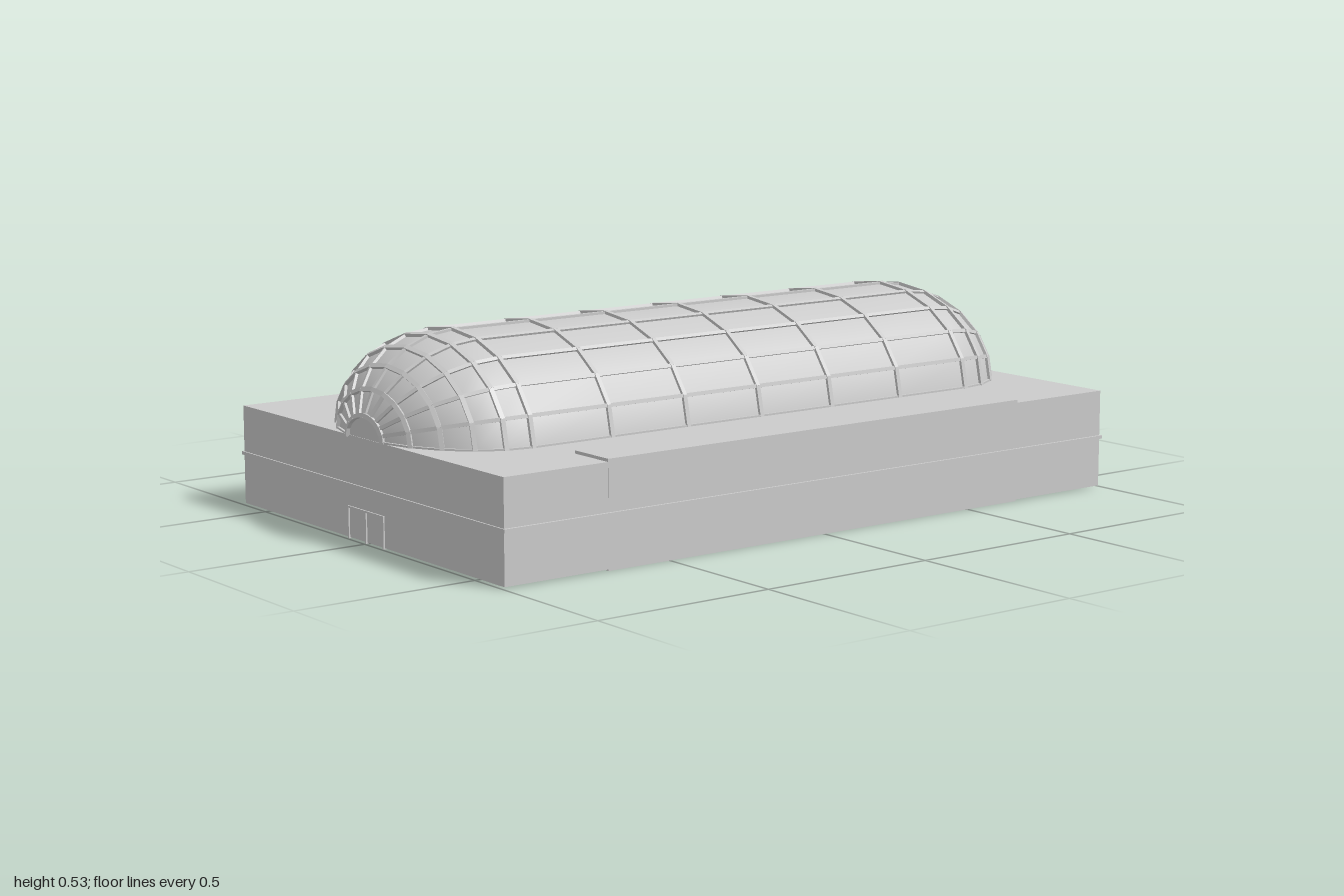
import * as THREE from 'three';
import { mergeGeometries } from 'three/addons/utils/BufferGeometryUtils.js';

const ROOF = 0.27;             // height of the hall roof, where the vault springs
const A = 0.355, B = 0.253;    // half width and rise of the vault
const BARREL = 0.727;          // half length of the straight part
const CAP = 0.272;             // depth of each rounded end
const SEGMENTS = 10;           // bays across the arch
const BAYS = 6, CAP_RINGS = 5;

const grey = new THREE.MeshStandardMaterial({ color: 0xcccccc });
const greyDouble = new THREE.MeshStandardMaterial({ color: 0xcccccc, side: THREE.DoubleSide });

// Cross-section stations from back to front: z position and scale of the arch
function vaultStations() {
  const cap = [];
  for (let k = 1; k <= CAP_RINGS; k++) {
    const t = THREE.MathUtils.degToRad(15.3 * k);
    cap.push({ z: BARREL + CAP * Math.sin(t), s: Math.cos(t) });
  }
  const barrel = [];
  for (let k = 0; k <= BAYS; k++) barrel.push({ z: -BARREL + (2 * BARREL * k) / BAYS, s: 1 });
  return [...cap.map(({ z, s }) => ({ z: -z, s })).reverse(), ...barrel, ...cap];
}

function archPoint({ z, s }, j) {
  const t = (Math.PI * j) / SEGMENTS;
  return new THREE.Vector3(A * s * Math.cos(t), ROOF + B * s * Math.sin(t), z);
}

// Glazed skin lofted through the stations
function skinGeometry(stations) {
  const positions = [], index = [], row = SEGMENTS + 1;
  stations.forEach((st, i) => {
    for (let j = 0; j <= SEGMENTS; j++) {
      positions.push(...archPoint(st, j).toArray());
      if (i && j) {
        const d = i * row + j, c = d - 1, b = d - row, a = b - 1;
        index.push(a, b, c, b, d, c);
      }
    }
  });
  const geometry = new THREE.BufferGeometry();
  geometry.setAttribute('position', new THREE.Float32BufferAttribute(positions, 3));
  geometry.setIndex(index);
  geometry.computeVertexNormals();
  // Orient the faces outward: the crown normal must point up
  const crown = Math.floor(stations.length / 2) * row + SEGMENTS / 2;
  if (geometry.attributes.normal.getY(crown) < 0) {
    geometry.setIndex(index.reverse());
    geometry.computeVertexNormals();
  }
  return geometry;
}

// Square bar between two points, turned to sit flat on the skin
function bar(p, q, width, depth) {
  const along = q.clone().sub(p);
  const length = along.length();
  along.normalize();
  const mid = p.clone().add(q).multiplyScalar(0.5);
  const core = new THREE.Vector3(0, ROOF, THREE.MathUtils.clamp(mid.z, -BARREL, BARREL));
  const out = mid.clone().sub(core);
  out.addScaledVector(along, -out.dot(along)).normalize();
  const side = new THREE.Vector3().crossVectors(out, along);
  const matrix = new THREE.Matrix4().makeBasis(side, out, along).setPosition(mid);
  return new THREE.BoxGeometry(width, depth, length + 0.004).applyMatrix4(matrix);
}

function box(name, w, h, d, x, y, z) {
  const mesh = new THREE.Mesh(new THREE.BoxGeometry(w, h, d), grey);
  mesh.name = name;
  mesh.position.set(x, y, z);
  return mesh;
}

function createVault() {
  const vault = new THREE.Group();
  vault.name = 'vaultedRoof';
  const stations = vaultStations();

  const skin = new THREE.Mesh(skinGeometry(stations), greyDouble);
  skin.name = 'vaultSkin';
  vault.add(skin);

  // Arched ribs at every station, purlins between them
  const arches = [], purlins = [];
  stations.forEach((st, i) => {
    for (let j = 0; j <= SEGMENTS; j++) {
      const p = archPoint(st, j);
      if (j < SEGMENTS) arches.push(bar(p, archPoint(st, j + 1), 0.012, 0.016));
      if (i + 1 < stations.length) purlins.push(bar(p, archPoint(stations[i + 1], j), 0.01, 0.012));
    }
  });
  const archMesh = new THREE.Mesh(mergeGeometries(arches), grey);
  archMesh.name = 'archRibs';
  const purlinMesh = new THREE.Mesh(mergeGeometries(purlins), grey);
  purlinMesh.name = 'purlins';
  vault.add(archMesh, purlinMesh);

  // Flat half-round panel closing each end
  const end = stations[stations.length - 1];
  for (const side of [1, -1]) {
    const outline = [];
    for (let j = 0; j <= SEGMENTS; j++) {
      const p = archPoint(end, j);
      outline.push(new THREE.Vector2(p.x, p.y));
    }
    const panel = new THREE.Mesh(new THREE.ShapeGeometry(new THREE.Shape(outline)), greyDouble);
    panel.name = 'vaultEndPanel';
    panel.position.z = side * end.z;
    if (side < 0) panel.rotation.y = Math.PI;
    vault.add(panel);
  }
  return vault;
}

// Double door: thin frame with a centre post
function createDoor() {
  const door = new THREE.Group();
  door.name = 'door';
  for (const x of [-0.083, 0, 0.083]) door.add(box('doorPost', 0.005, 0.085, 0.008, x, 0.0435, 0));
  door.add(box('doorLintel', 0.171, 0.005, 0.008, 0, 0.0835, 0));
  return door;
}

export function createModel() {
  const model = new THREE.Group();
  model.name = 'exhibitionHall';

  model.add(box('hallBody', 1.232, ROOF - 0.004, 1.986, 0, (ROOF + 0.004) / 2, 0));
  model.add(box('stringCourse', 1.246, 0.009, 1.994, 0, 0.141, 0));

  // Side wings rising slightly above the roof and below the body
  for (const side of [1, -1]) {
    model.add(box('sideWing', 0.137, 0.278, 1.365, side * 0.548, 0.139, 0.005));
  }

  // Doors at both ends
  for (const side of [1, -1]) {
    const door = createDoor();
    door.position.z = side * 0.993;
    model.add(door);
  }

  model.add(createVault());
  return model;
}
